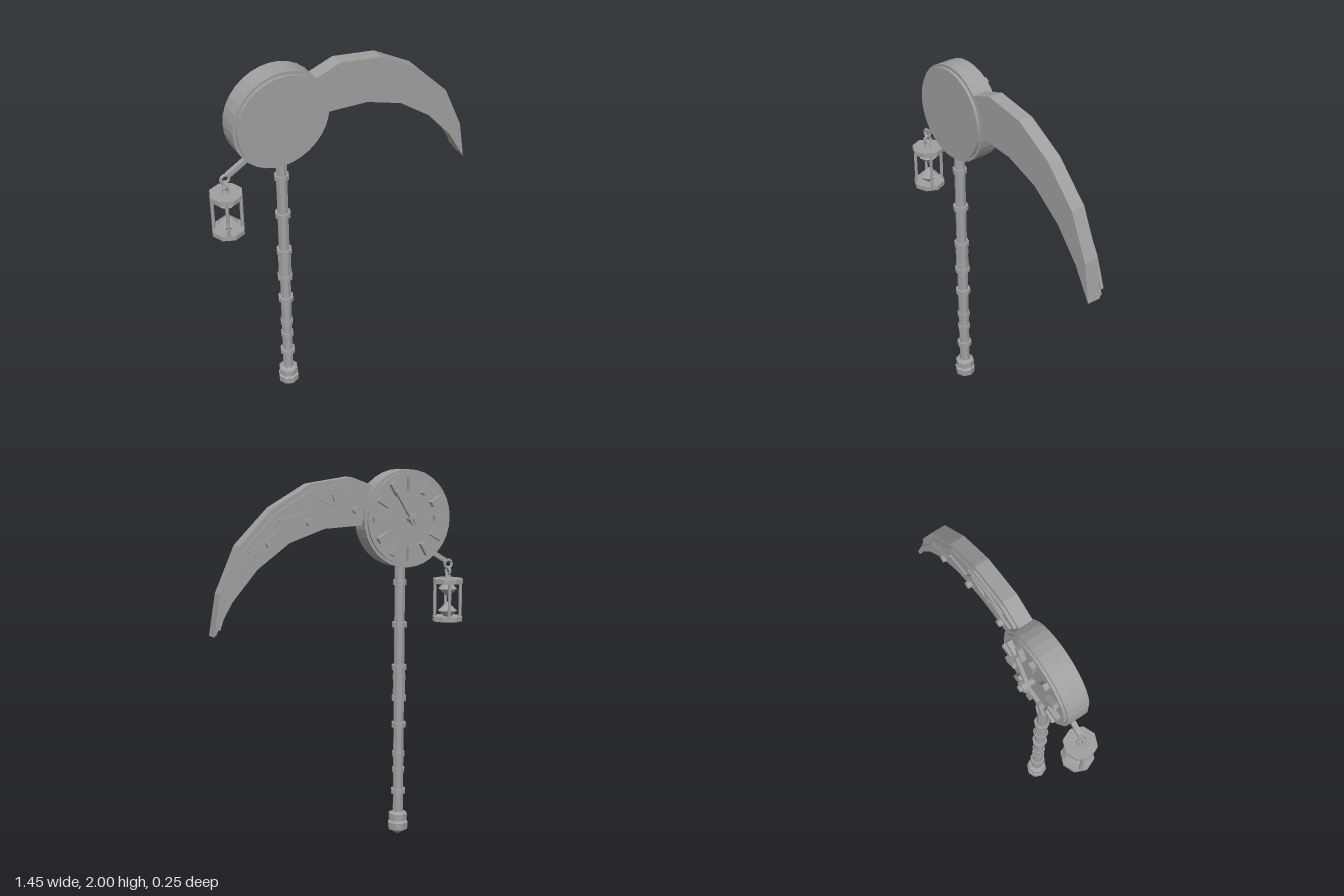
import * as THREE from 'three';

export function createModel() {
  const root = new THREE.Group();
  const metal = new THREE.MeshStandardMaterial({ color: 0xa0a0a0, flatShading: true });
  metal.name = 'grey metal';

  function add(name, geometry, x = 0, y = 0, z = 0, parent = root) {
    const m = new THREE.Mesh(geometry, metal);
    m.name = name;
    m.position.set(x, y, z);
    parent.add(m);
    return m;
  }
  // Disc whose axis runs along z, between two depths
  function disc(name, r, z0, z1, x, y, sides = 32) {
    const g = new THREE.CylinderGeometry(r, r, z1 - z0, sides).rotateX(Math.PI / 2);
    return add(name, g, x, y, (z0 + z1) / 2);
  }
  // Flat outline extruded between two depths
  function plate(name, pts, z0, z1) {
    const shape = new THREE.Shape(pts.map(p => new THREE.Vector2(p[0], p[1])));
    return add(name, new THREE.ExtrudeGeometry(shape, { depth: z1 - z0, bevelEnabled: false }), 0, 0, z0);
  }
  // Straight bar in an xy plane from a to b
  function bar(name, a, b, width, depth, z) {
    const dx = b[0] - a[0], dy = b[1] - a[1];
    const m = add(name, new THREE.BoxGeometry(Math.hypot(dx, dy), width, depth),
      (a[0] + b[0]) / 2, (a[1] + b[1]) / 2, z);
    m.rotation.z = Math.atan2(dy, dx);
    return m;
  }

  // Handle with sleeves and rings
  const hx = -0.345, hz = 0.04;
  const ring = (name, y0, y1, r) =>
    add(name, new THREE.CylinderGeometry(r, r, y1 - y0, 8), hx, (y0 + y1) / 2, hz);
  ring('shaft', 0.1, 1.53, 0.029);
  ring('upperSleeve', 0.78, 0.94, 0.034);
  [[1.405, 0.038], [1.178, 0.041], [0.945, 0.041], [0.89, 0.036], [0.81, 0.036], [0.775, 0.041],
    [0.627, 0.041], [0.463, 0.035], [0.373, 0.035], [0.252, 0.041]]
    .forEach(([y, r]) => ring('handleRing', y - 0.014, y + 0.014, r));

  // Pommel
  const pommel = [[0, 0.003], [0.055, 0.036], [0.057, 0.075], [0.04, 0.083], [0.052, 0.088],
    [0.052, 0.125], [0.03, 0.135], [0, 0.135]].map(p => new THREE.Vector2(...p));
  add('pommel', new THREE.LatheGeometry(pommel, 8), hx, 0, hz);

  // Clock head
  const cx = -0.35, cy = 1.745;
  disc('clockCase', 0.255, -0.032, 0.077, cx, cy);
  disc('frontCover', 0.24, 0.07, 0.093, cx, cy);
  disc('clockDial', 0.24, -0.045, -0.03, cx, cy);

  // Hour markers on the back
  for (let i = 0; i < 12; i++) {
    const a = i * Math.PI / 6, c = Math.cos(a), s = Math.sin(a);
    bar('hourMarker', [cx + c * 0.145, cy + s * 0.145], [cx + c * 0.215, cy + s * 0.215], 0.03, 0.03, -0.055);
  }

  // Hands and pivot
  bar('minuteHand', [cx, cy], [-0.258, 1.89], 0.02, 0.018, -0.08);
  bar('hourHand', [cx, cy], [-0.45, cy], 0.026, 0.018, -0.086);
  disc('handPivot', 0.017, -0.125, -0.04, cx, cy, 8);
  disc('pivotCap', 0.03, -0.112, -0.09, cx, cy, 8);

  // Curved blade
  const upper = [[-0.17, 1.915], [-0.035, 1.963], [0.193, 1.931], [0.4, 1.815], [0.58, 1.635],
    [0.685, 1.4], [0.72, 1.19]];
  const lower = [[0.62, 1.36], [0.485, 1.515], [0.31, 1.64], [0.115, 1.705], [-0.09, 1.715], [-0.17, 1.715]];
  plate('blade', [...upper, ...lower], 0, 0.075);

  // Inset plate on the back of the blade
  const inUpper = upper.slice(0, 6).map(([x, y], i) => [x - 0.004 * i, y - 0.025]);
  const inLower = lower.map(([x, y], i) => [x + (i < 3 ? 0.012 : 0), y + 0.025]);
  plate('bladeBackPlate', [...inUpper, [0.715, 1.2], ...inLower], -0.014, 0.002);

  // Jagged ridge, sliver and rivets on the back plate
  const zigzag = [[-0.14, 1.85], [0.075, 1.878], [0.054, 1.827], [0.18, 1.86], [0.23, 1.785], [0.373, 1.75],
    [0.387, 1.69], [0.536, 1.6], [0.586, 1.5], [0.65, 1.39], [0.705, 1.23]];
  for (let i = 0; i + 1 < zigzag.length; i++)
    bar('jaggedRidge', zigzag[i], zigzag[i + 1], 0.018, 0.016, -0.017);
  plate('bladeSliver', [[-0.06, 1.905], [0.08, 1.882], [0.22, 1.88], [0.08, 1.91]], -0.024, -0.01);
  [[-0.05, 1.795], [0.21, 1.74], [0.43, 1.64]].forEach(([x, y]) =>
    disc('bladeRivet', 0.018, -0.038, -0.01, x, y, 8));

  // Hanging arm and chain links
  const lx = -0.642, lz = 0.036;
  bar('lanternArm', [-0.5, 1.58], [-0.63, 1.505], 0.024, 0.024, lz);
  add('armRing', new THREE.TorusGeometry(0.022, 0.008, 6, 10), lx, 1.49, lz);
  add('chainLink', new THREE.TorusGeometry(0.02, 0.008, 6, 10).rotateY(Math.PI / 2), lx, 1.452, lz);
  add('lanternKnob', new THREE.CylinderGeometry(0.012, 0.022, 0.03, 8), lx, 1.422, lz);

  // Hourglass
  const glass = new THREE.Group();
  glass.name = 'hourglass';
  glass.position.set(lx, 0, lz);
  root.add(glass);
  for (const y of [1.398, 1.192])
    add('endPlate', new THREE.CylinderGeometry(0.084, 0.084, 0.026, 8), 0, y, 0, glass);
  for (let i = 0; i < 4; i++) {
    const a = Math.PI / 8 + i * Math.PI / 2;
    add('post', new THREE.CylinderGeometry(0.009, 0.009, 0.2, 6),
      Math.cos(a) * 0.07, 1.295, Math.sin(a) * 0.07, glass);
  }
  const bulb = pts => new THREE.LatheGeometry(pts.map(p => new THREE.Vector2(...p)), 8);
  add('upperBulb', bulb([[0, 1.308], [0.053, 1.355], [0.02, 1.388]]), 0, 0, 0, glass);
  add('lowerBulb', bulb([[0.02, 1.202], [0.053, 1.235], [0, 1.284]]), 0, 0, 0, glass);

  return root;
}
